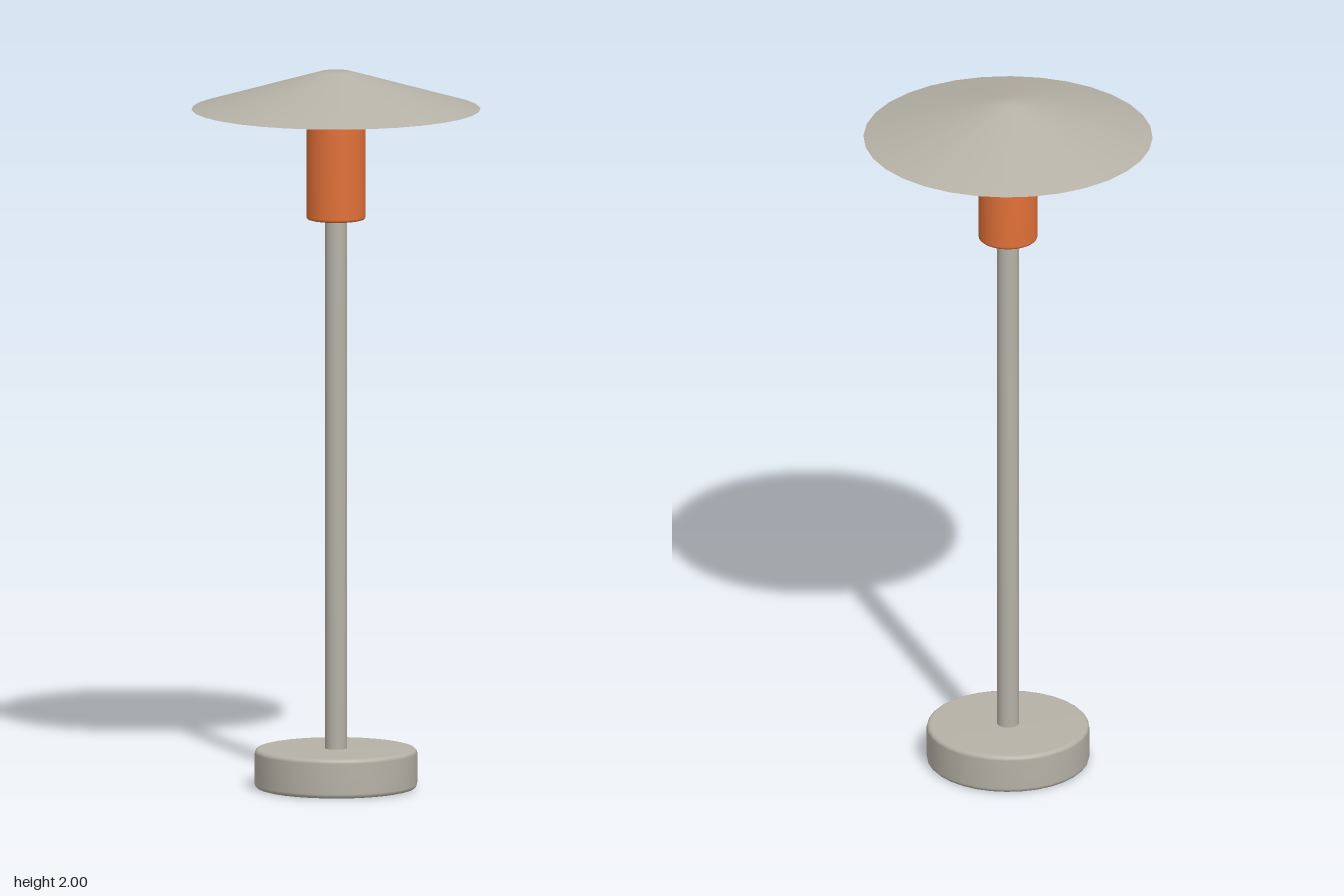
import * as THREE from 'three';

const grey = new THREE.MeshStandardMaterial({ color: 0xb5b1a6 });
grey.name = 'warm grey metal';
const orange = new THREE.MeshStandardMaterial({ color: 0xe07038 });
orange.name = 'orange enamel';

// Closed round part turned about the y axis, profile listed from bottom to top
function turned(name, profile, material) {
  const points = profile.map(([r, y]) => new THREE.Vector2(r, y));
  const mesh = new THREE.Mesh(new THREE.LatheGeometry(points, 32), material);
  mesh.name = name;
  return mesh;
}

// Profile of a cylinder with a small rounded edge at both ends
function softCylinder(r, y0, y1, bevel) {
  const profile = [[0, y0]];
  for (let i = 0; i <= 3; i++) {
    const a = (i / 3) * Math.PI / 2;
    profile.push([r - bevel + bevel * Math.sin(a), y0 + bevel - bevel * Math.cos(a)]);
  }
  for (let i = 0; i <= 3; i++) {
    const a = (i / 3) * Math.PI / 2;
    profile.push([r - bevel + bevel * Math.cos(a), y1 - bevel + bevel * Math.sin(a)]);
  }
  profile.push([0, y1]);
  return profile;
}

export function createModel() {
  const lamp = new THREE.Group();
  lamp.name = 'lamp';

  // Foot, pole and coloured lamp holder
  lamp.add(turned('base', softCylinder(0.225, 0, 0.11, 0.012), grey));
  lamp.add(turned('pole', [[0, 0.1], [0.03, 0.1], [0.03, 1.6], [0, 1.6]], grey));
  lamp.add(turned('lampHolder', softCylinder(0.082, 1.588, 1.858, 0.008), orange));

  // Wide shallow shade with a small flat crown, floating above the holder
  lamp.add(turned('shade', [[0.4, 1.896], [0.045, 2], [0, 2]], grey));
  const underside = new THREE.Mesh(new THREE.CircleGeometry(0.4, 32), grey);
  underside.name = 'shadeUnderside';
  underside.rotation.x = Math.PI / 2;
  underside.position.y = 1.896;
  lamp.add(underside);

  return lamp;
}
